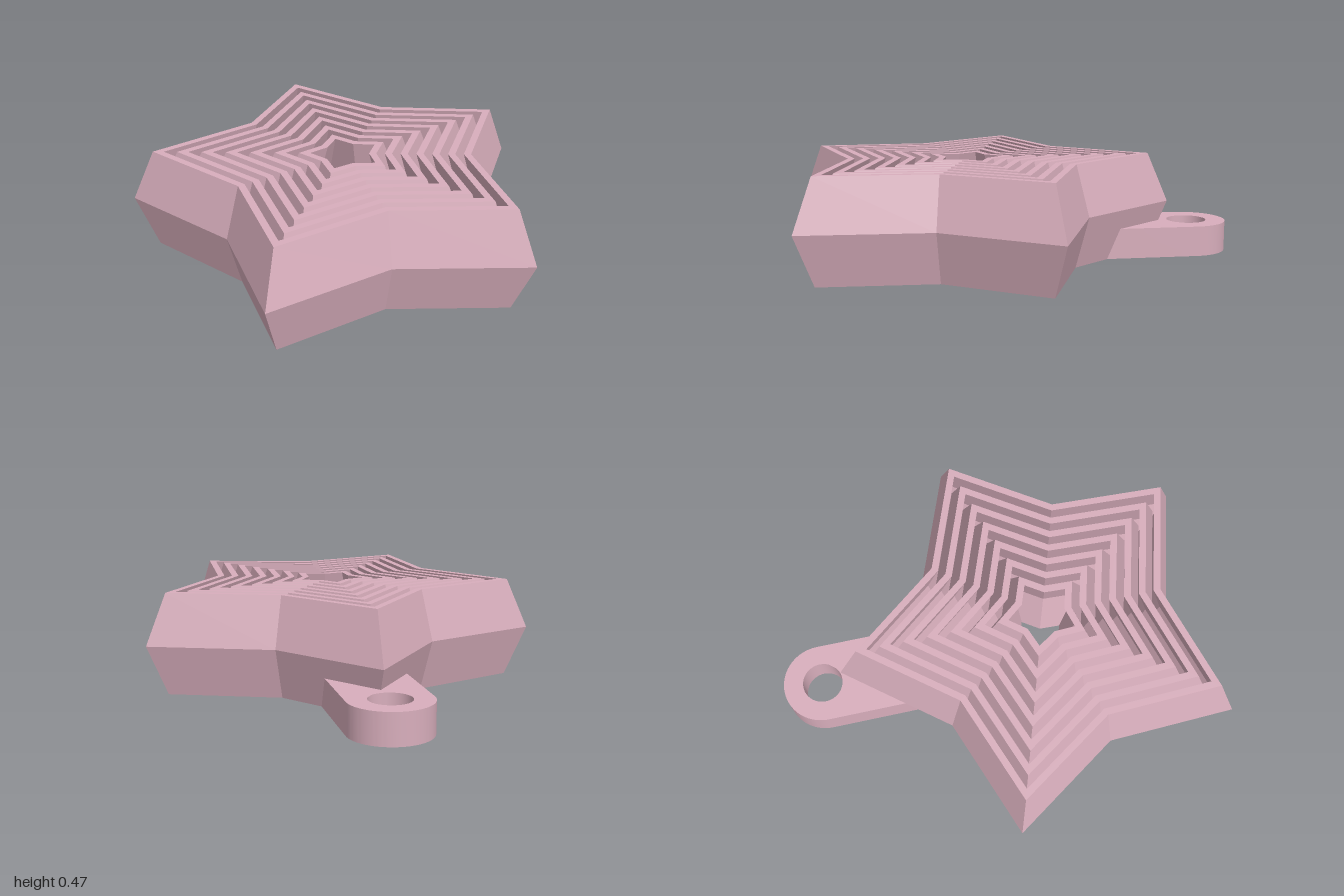
import * as THREE from 'three';
import { toCreasedNormals } from 'three/addons/utils/BufferGeometryUtils.js';

const HEIGHT = 0.465, CENTER_Z = 0.232;
const NOTCH = 0.644;      // notch radius / tip radius
const BULGE = 0.1;        // how far the tips swell at mid height
const RINGS = 7, TOP_RADIUS = 0.852, PITCH = 0.1076, WALL = 0.0493;

// Point on a five-pointed star, even steps are tips, step 0 points to the back
function starPoint(step, radius, y) {
  const r = step % 2 ? radius * NOTCH : radius;
  const a = step * Math.PI / 5;
  return [r * Math.sin(a), y, CENTER_Z - r * Math.cos(a)];
}

// Star ring with a chevron-shaped wall
function starRing(radius) {
  const inner = radius - WALL;
  const section = [
    [radius, 0], [radius + BULGE, HEIGHT / 2], [radius, HEIGHT],
    [inner, HEIGHT], [inner + BULGE, HEIGHT / 2], [inner, 0],
  ];
  const pos = [];
  for (let s = 0; s < 10; s++) {
    section.forEach((p, k) => {
      const q = section[(k + 1) % section.length];
      const a = starPoint(s, ...p), b = starPoint(s, ...q);
      const c = starPoint(s + 1, ...q), d = starPoint(s + 1, ...p);
      pos.push(...a, ...b, ...c, ...a, ...c, ...d);
    });
  }
  const geo = new THREE.BufferGeometry();
  geo.setAttribute('position', new THREE.Float32BufferAttribute(pos, 3));
  geo.computeVertexNormals();
  return geo;
}

// Flat hanging tab with a round eye, fitted against the sloping star wall
function hangingTab() {
  const w = 0.183, eyeZ = 0.817;
  const shape = new THREE.Shape();
  shape.moveTo(0, 0.615);
  shape.lineTo(w, 0.384);
  shape.lineTo(w, eyeZ);
  shape.absarc(0, eyeZ, w, 0, Math.PI, false);
  shape.lineTo(-w, 0.384);
  shape.closePath();
  const eye = new THREE.Path();
  eye.absarc(0, eyeZ, 0.093, 0, Math.PI * 2, true);
  shape.holes.push(eye);
  const geo = new THREE.ExtrudeGeometry(shape, { depth: 0.14, bevelEnabled: false, curveSegments: 32 });
  geo.rotateX(-Math.PI / 2);
  // lean the inner edge back with the wall
  const p = geo.attributes.position;
  for (let i = 0; i < p.count; i++) {
    if (p.getZ(i) > -0.7) p.setZ(i, p.getZ(i) - p.getY(i) * BULGE / (HEIGHT / 2));
  }
  return toCreasedNormals(geo, 0.5);
}

export function createModel() {
  const model = new THREE.Group();
  model.name = 'nestedStar';
  const pink = new THREE.MeshStandardMaterial({ color: 0xd8aebc });
  pink.name = 'dusty pink';

  // Nested star rings, outermost first
  const rings = new THREE.Group();
  rings.name = 'starRings';
  for (let i = 0; i < RINGS; i++) {
    const ring = new THREE.Mesh(starRing(TOP_RADIUS - i * PITCH), pink);
    ring.name = `starRing${i + 1}`;
    rings.add(ring);
  }

  const tab = new THREE.Mesh(hangingTab(), pink);
  tab.name = 'hangingTab';

  model.add(rings, tab);
  return model;
}
